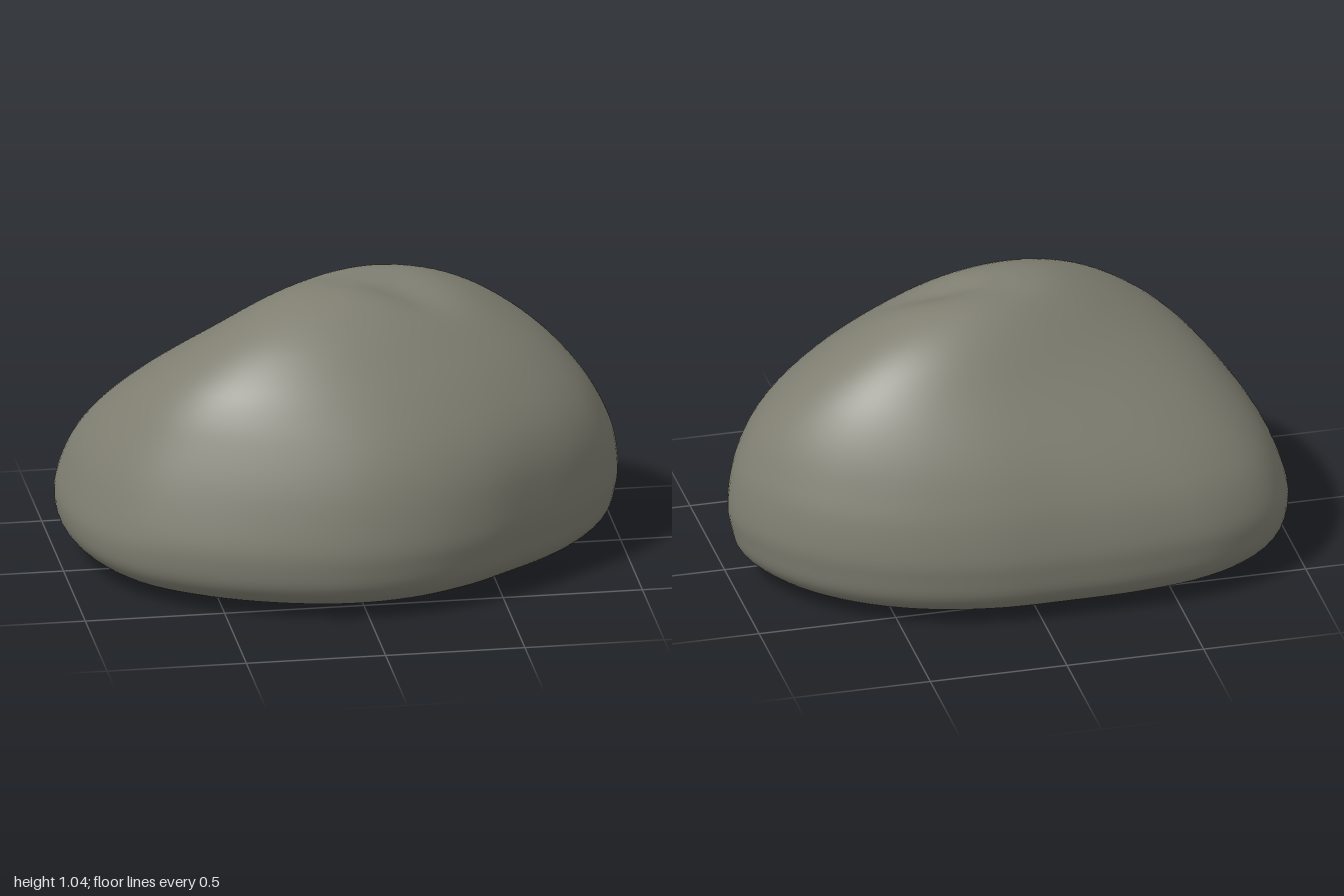
import * as THREE from 'three';

const V = (a) => new THREE.Vector3(...a);

// Plan outline of the boulder at its widest, as [x, z]
const OUTLINE = [
  [1, -0.08], [0.94, 0.12], [0.8, 0.295], [0.61, 0.445], [0.42, 0.575], [0.2, 0.665], [-0.04, 0.695],
  [-0.3, 0.655], [-0.58, 0.545], [-0.81, 0.38], [-0.945, 0.16], [-1, -0.13], [-0.97, -0.36], [-0.87, -0.52],
  [-0.67, -0.635], [-0.4, -0.685], [-0.1, -0.695], [0.2, -0.687], [0.5, -0.615], [0.76, -0.47], [0.93, -0.28],
];

// Extents of the cross-sections from base to crown: [y, xMin, xMax, zMin, zMax]
const LEVELS = [
  [0.005, -0.3, 0.3, -0.22, 0.22],
  [0.02, -0.66, 0.66, -0.42, 0.42],
  [0.035, -0.82, 0.8, -0.56, 0.55],
  [0.06, -0.915, 0.895, -0.635, 0.62],
  [0.12, -0.98, 0.965, -0.678, 0.673],
  [0.2, -1, 0.99, -0.692, 0.692],
  [0.28, -0.99, 1, -0.695, 0.695],
  [0.4, -0.95, 0.985, -0.675, 0.672],
  [0.5, -0.895, 0.95, -0.642, 0.642],
  [0.6, -0.82, 0.895, -0.597, 0.598],
  [0.7, -0.73, 0.815, -0.538, 0.54],
  [0.8, -0.615, 0.71, -0.465, 0.465],
  [0.9, -0.465, 0.57, -0.378, 0.36],
  [0.97, -0.33, 0.44, -0.295, 0.255],
  [1.02, -0.195, 0.3, -0.205, 0.145],
  [1.045, -0.06, 0.17, -0.12, 0.035],
];

const TIP = [0.04, 1.03, -0.04];

// Saddle across the crown, deepening into a crease towards +x
function crease(x, z) {
  const dx = x - TIP[0];
  const dz = z - TIP[2];
  const along = 0.95 * dx + 0.3 * dz;
  const across = 0.3 * dx - 0.95 * dz;
  const depth = 0.012 * Math.exp(-((along / 0.2) ** 2)) + 0.032 * Math.exp(-(((along - 0.2) / 0.16) ** 2));
  return depth * Math.exp(-((across / 0.1) ** 2));
}

function boulderGeometry(rows = 60, cols = 96) {
  const plan = new THREE.CatmullRomCurve3(OUTLINE.map(([x, z]) => V([x, 0, z / 0.695])), true);
  const xs = new THREE.CatmullRomCurve3(LEVELS.map((l) => V([l[0], l[1], l[2]])), false, 'catmullrom', 0.5);
  const zs = new THREE.CatmullRomCurve3(LEVELS.map((l) => V([l[0], l[3], l[4]])), false, 'catmullrom', 0.5);
  const pos = [0, 0, 0];
  const index = [];

  for (let k = 0; k <= rows; k++) {
    const px = xs.getPoint(k / rows);
    const pz = zs.getPoint(k / rows);
    // Sections turn from the plan outline into a slanted ellipse higher up
    const blend = THREE.MathUtils.smoothstep(px.x, 0.25, 1);
    const slant = 0.42 * THREE.MathUtils.smoothstep(px.x, 0.3, 1.05);
    for (let i = 0; i < cols; i++) {
      const n = plan.getPoint(i / cols);
      const angle = Math.atan2(n.z, n.x);
      const nx = THREE.MathUtils.lerp(n.x, Math.cos(angle), blend);
      const nz = THREE.MathUtils.lerp(n.z, Math.sin(angle - slant), blend);
      const x = (px.y + px.z) / 2 + ((px.z - px.y) / 2) * nx;
      const z = (pz.y + pz.z) / 2 + ((pz.z - pz.y) / 2) * nz;
      pos.push(x, px.x - blend * crease(x, z), z);
    }
  }
  pos.push(...TIP);
  const tip = 1 + (rows + 1) * cols;

  const at = (k, i) => 1 + k * cols + (i % cols);
  for (let i = 0; i < cols; i++) {
    index.push(0, at(0, i), at(0, i + 1));
    for (let k = 0; k < rows; k++) {
      index.push(at(k, i), at(k + 1, i), at(k, i + 1));
      index.push(at(k, i + 1), at(k + 1, i), at(k + 1, i + 1));
    }
    index.push(at(rows, i), tip, at(rows, i + 1));
  }

  const geometry = new THREE.BufferGeometry();
  geometry.setAttribute('position', new THREE.Float32BufferAttribute(pos, 3));
  geometry.setIndex(index);
  geometry.computeVertexNormals();
  return geometry;
}

export function createModel() {
  const group = new THREE.Group();
  group.name = 'rock';
  const stone = new THREE.MeshStandardMaterial({ color: 0x807f72 });
  stone.name = 'greyStone';
  const boulder = new THREE.Mesh(boulderGeometry(), stone);
  boulder.name = 'boulder';
  group.add(boulder);
  return group;
}
